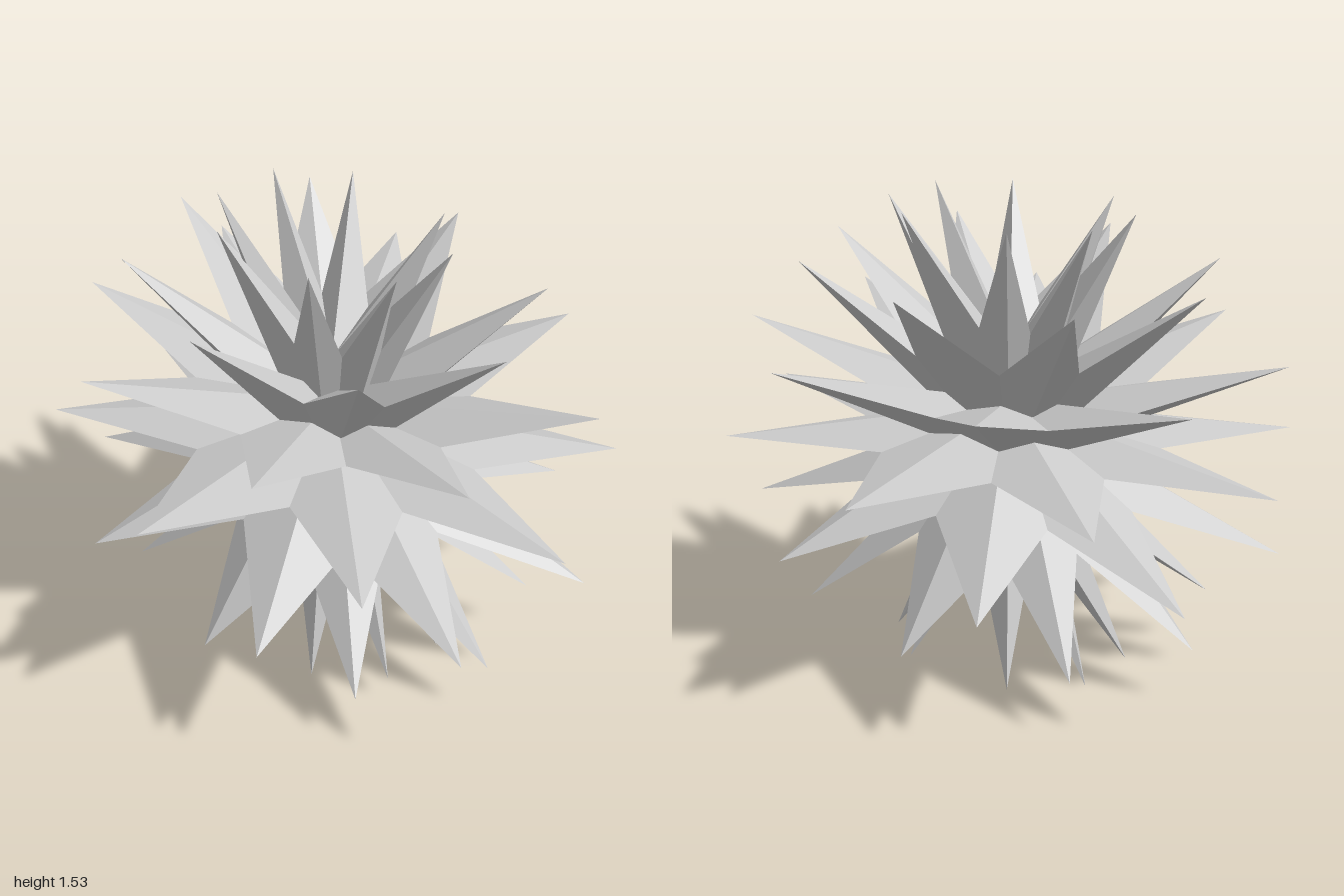
import * as THREE from 'three';

const CENTRE_Y = 0.767;   // height of the middle star
const VALLEY = 0.52;      // notch radius relative to the tips
const STEP = Math.PI / 8; // angle between tip and notch, and between rings

// Point on the stretched sphere that carries all the tips
function spherePoint(lat, lon, r) {
  let x = Math.cos(lat) * Math.cos(lon);
  const z = Math.cos(lat) * Math.sin(lon);
  x = Math.abs(x) < 1e-6 ? 0 : 0.935 * x + 0.065 * Math.sign(x);
  return new THREE.Vector3(r * x, r * 0.83 * Math.sin(lat), r * 0.825 * z);
}

// Eight-pointed star, folded up or down to a latitude, closed by two inner apexes
function starGeometry(ring) {
  const lat = ring * STEP;
  const half = 0.105 / Math.cos(lat);
  const top = new THREE.Vector3(0, half, 0);
  const bottom = new THREE.Vector3(0, -half, 0);
  const rim = [];
  for (let j = 0; j < 16; j++) {
    const isTip = (ring + j) % 2 === 0;
    rim.push(spherePoint(lat, j * STEP, isTip ? 1 : VALLEY));
  }
  const points = [];
  rim.forEach((p, j) => {
    const q = rim[(j + 1) % 16];
    points.push(top, q, p, bottom, p, q);
  });
  const geometry = new THREE.BufferGeometry().setFromPoints(points);
  geometry.computeVertexNormals();
  return geometry;
}

export function createModel() {
  const group = new THREE.Group();
  group.name = 'spikyStarBall';
  const material = new THREE.MeshStandardMaterial({ color: 0xcccccc, flatShading: true });

  // Seven stars, each turned half a point against its neighbours
  const names = ['bottomStar', 'lowerStar', 'lowerMiddleStar', 'middleStar',
    'upperMiddleStar', 'upperStar', 'topStar'];
  names.forEach((name, i) => {
    const star = new THREE.Mesh(starGeometry(i - 3), material);
    star.name = name;
    star.position.y = CENTRE_Y;
    group.add(star);
  });
  return group;
}
